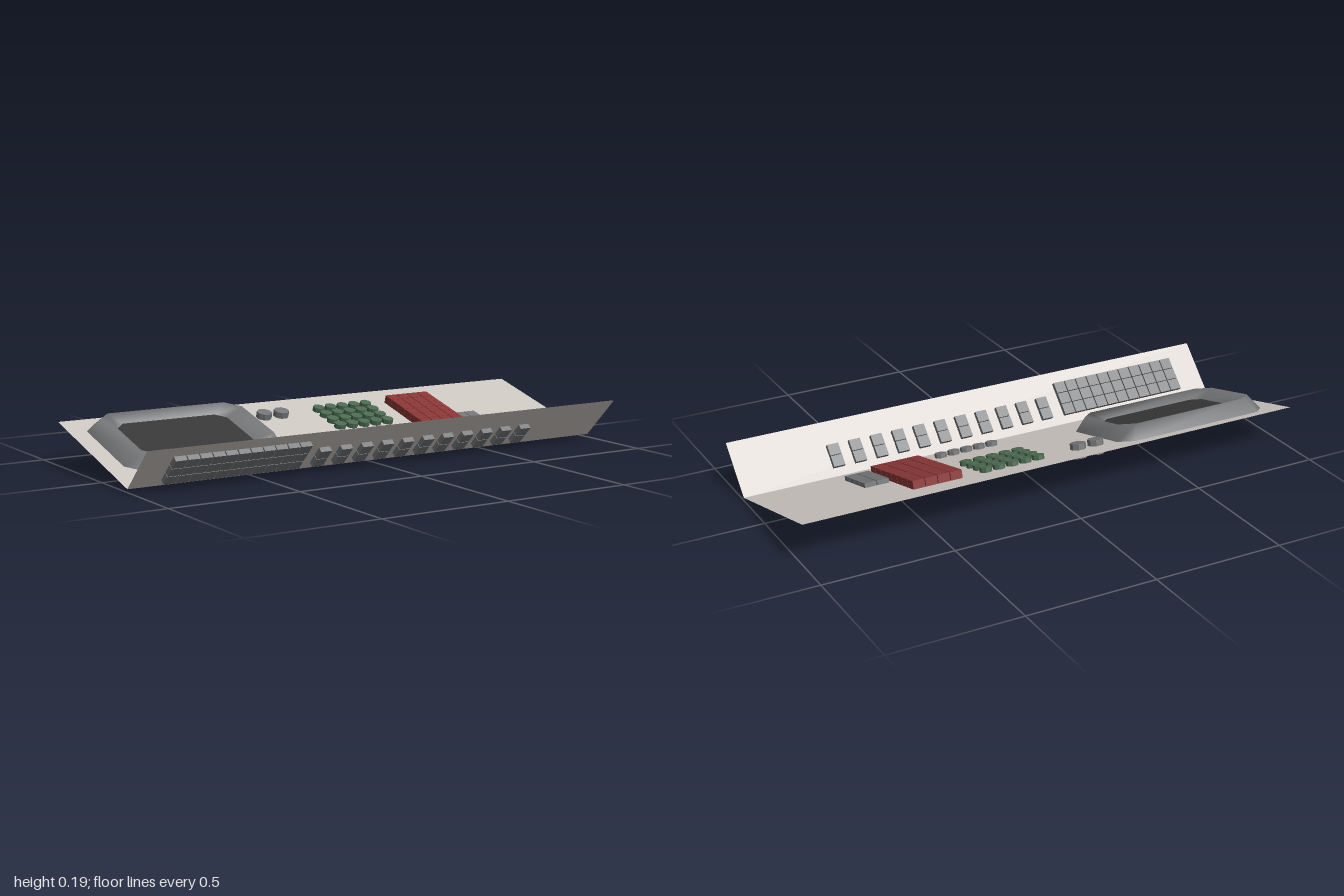
import * as THREE from 'three';

const mat = (name, color, extra = {}) => {
  const m = new THREE.MeshStandardMaterial({ color, ...extra });
  m.name = name;
  return m;
};

export function createModel() {
  const beige = mat('panelBeige', 0xcdc7c2, { side: THREE.DoubleSide });
  const grey = mat('keyGrey', 0x747678);
  const red = mat('keyRed', 0x8a3636);
  const green = mat('buttonGreen', 0x4c6b52);
  const dark = mat('screenDark', 0x383838);

  const model = new THREE.Group();
  model.name = 'controlConsole';

  // Both panels hinge on the fold line; local y is the panel normal
  const tilted = (name, angle) => {
    const g = new THREE.Group();
    g.name = name;
    g.position.set(0, 0.0125, 0.2);
    g.rotation.x = angle;
    model.add(g);
    return g;
  };
  const desk = tilted('desk', Math.PI / 12);
  const lip = tilted('frontLip', -Math.PI / 4);

  const add = (parent, name, geo, material, x = 0, y = 0, z = 0) => {
    const mesh = new THREE.Mesh(geo, material);
    mesh.name = name;
    mesh.position.set(x, y, z);
    parent.add(mesh);
    return mesh;
  };

  // Thin sheet panels
  const sheet = (length) => new THREE.PlaneGeometry(2, length).rotateX(-Math.PI / 2);
  add(desk, 'deskPanel', sheet(0.58), beige, 0, 0, -0.29);
  add(lip, 'lipPanel', sheet(0.219), beige, 0, 0, 0.1095);

  // Regular grid of identical parts
  const grid = (parent, name, geo, material, cols, rows, x0, z0, dx, dz, y) => {
    const g = new THREE.Group();
    g.name = name + 'Grid';
    parent.add(g);
    for (let r = 0; r < rows; r++)
      for (let c = 0; c < cols; c++)
        add(g, name, geo, material, x0 + c * dx, y, z0 + r * dz);
  };

  // Square keys on the desk
  const deskKey = new THREE.BoxGeometry(0.046, 0.037, 0.0445);
  grid(desk, 'redKey', deskKey, red, 4, 8, 0.364, -0.1165, 0.049, -0.0467, 0.0125);
  grid(desk, 'numberKey', deskKey, grey, 2, 4, 0.568, -0.1165, 0.049, -0.0467, -0.002);

  // Eight-sided buttons on the desk
  const button = (width, height) => {
    const r = width / 2 / Math.cos(Math.PI / 8);
    return new THREE.CylinderGeometry(r, r, height, 8).rotateY(Math.PI / 8).toNonIndexed();
  };
  const small = button(0.042, 0.043);
  small.computeVertexNormals();
  const large = button(0.055, 0.056);
  large.computeVertexNormals();
  grid(desk, 'greenButton', small, green, 5, 4, 0.027, -0.292, 0.0535, -0.0535, -0.004);
  grid(desk, 'greyButton', small, grey, 5, 1, 0.027, -0.0757, 0.0535, 0, -0.005);
  grid(desk, 'largeKnob', large, grey, 2, 1, -0.22, -0.443, 0.074, 0, -0.005);

  // Keyboard and paired switches on the lip
  const lipKey = new THREE.BoxGeometry(0.045, 0.036, 0.0435);
  grid(lip, 'keyboardKey', lipKey, grey, 11, 3, -0.861, 0.055, 0.0492, 0.046, -0.002);
  grid(lip, 'switchKey', lipKey, grey, 11, 2, -0.27, 0.055, 0.0885, 0.046, -0.002);

  // Monitor: chamfered outlines lofted from the base over the rim to the screen
  const ring = (x0, x1, z0, z1, y, c) => [
    [x0 + c, y, z0], [x0, y, z0 + c], [x0, y, z1 - c], [x0 + c, y, z1],
    [x1 - c, y, z1], [x1, y, z1 - c], [x1, y, z0 + c], [x1 - c, y, z0],
  ];
  const rings = [
    ring(-0.932, -0.29, -0.529, -0.121, 0, 0.05),
    ring(-0.9, -0.322, -0.494, -0.15, 0.0555, 0.05),
    ring(-0.837, -0.39, -0.462, -0.183, 0.024, 0.035),
  ];
  const index = [];
  for (let k = 0; k < 2; k++)
    for (let i = 0; i < 8; i++) {
      const a = k * 8 + i, b = k * 8 + (i + 1) % 8;
      index.push(a, b, b + 8, a, b + 8, a + 8);
    }
  const frame = new THREE.BufferGeometry();
  frame.setAttribute('position', new THREE.Float32BufferAttribute(rings.flat(2), 3));
  frame.setIndex(index);
  frame.computeVertexNormals();
  add(desk, 'monitorFrame', frame, grey);

  // Recessed dark screen
  const screen = new THREE.ShapeGeometry(
    new THREE.Shape(rings[2].map(([x, , z]) => new THREE.Vector2(x, -z)))
  ).rotateX(-Math.PI / 2);
  add(desk, 'screen', screen, dark, 0, 0.024, 0);

  return model;
}
